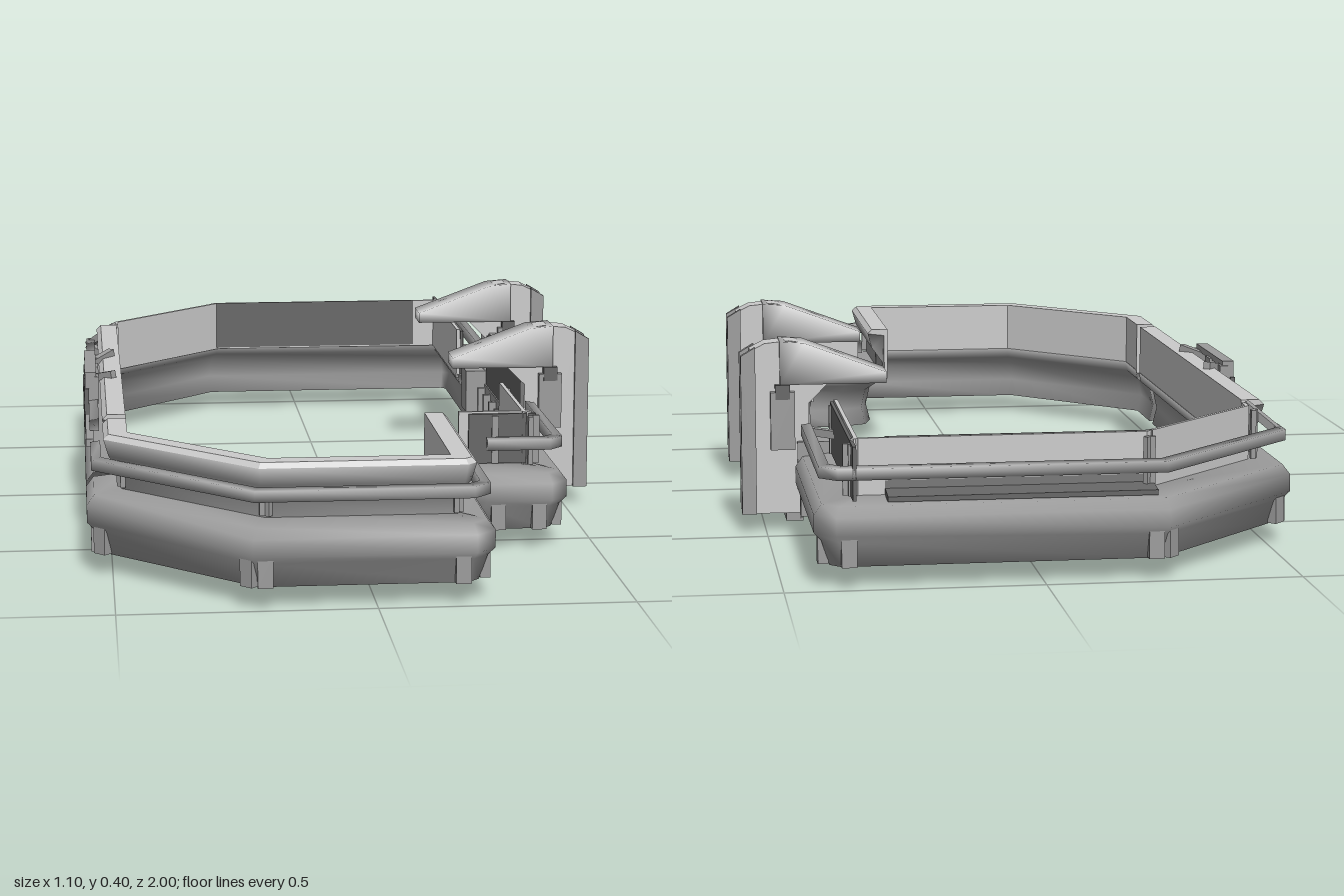
import * as THREE from 'three';
import { mergeVertices } from 'three/addons/utils/BufferGeometryUtils.js';

const material = (color, flatShading) =>
  new THREE.MeshStandardMaterial({ color, flatShading, side: THREE.DoubleSide });
const light = material(0xcccccc, true);
const lightSmooth = material(0xcccccc, false);
const steel = material(0x9c9c9c, false);
const dark = material(0x666666, true);

export function createModel() {
  const root = new THREE.Group();
  const add = (name, geo, mat, x = 0, y = 0, z = 0) => {
    const m = new THREE.Mesh(geo, mat);
    m.name = name;
    m.position.set(x, y, z);
    root.add(m);
    return m;
  };
  const box = (name, mat, w, h, d, x, y, z) => add(name, new THREE.BoxGeometry(w, h, d), mat, x, y, z);
  // square bar between two points
  const bar = (name, a, b, t) => {
    const p = new THREE.Vector3(...a), q = new THREE.Vector3(...b);
    const m = box(name, steel, t, t, p.distanceTo(q), ...p.clone().add(q).multiplyScalar(0.5));
    m.lookAt(q);
    return m;
  };
  // side outline extruded along z, centred on z = 0
  const plate = (points, depth) => new THREE.ExtrudeGeometry(
    new THREE.Shape(points.map(p => new THREE.Vector2(...p))), { depth, bevelEnabled: false })
    .translate(0, 0, -depth / 2);
  // shared vertices, so the shading runs softly over the edges
  const soften = geo => {
    geo.deleteAttribute('normal');
    geo.deleteAttribute('uv');
    const g = mergeVertices(geo);
    g.computeVertexNormals();
    return g;
  };
  // inward normal of the path edge i
  const normal = (path, i) => {
    const dx = path[i + 1][0] - path[i][0], dz = path[i + 1][1] - path[i][1], l = Math.hypot(dx, dz);
    return [dz / l, -dx / l];
  };
  // closed profile of [inset, y] swept along an [x, z] path with mitred corners and end caps
  const sweep = (name, mat, path, profile) => {
    const last = path.length - 1, n = profile.length, pos = [], idx = [];
    path.forEach(([x, z], i) => {
      const a = normal(path, Math.max(i - 1, 0)), b = normal(path, Math.min(i, last - 1));
      const k = 1 / (1 + a[0] * b[0] + a[1] * b[1]);
      for (const [o, y] of profile) pos.push(x + (a[0] + b[0]) * k * o, y, z + (a[1] + b[1]) * k * o);
    });
    for (let i = 0; i < last; i++) for (let j = 0; j < n; j++) {
      const a = i * n + j, b = i * n + (j + 1) % n;
      idx.push(a, b, a + n, b, b + n, a + n);
    }
    const cap = THREE.ShapeUtils.triangulateShape(profile.map(p => new THREE.Vector2(...p)), []);
    for (const t of cap) idx.push(t[0], t[2], t[1], ...t.map(v => v + last * n));
    const g = new THREE.BufferGeometry();
    g.setAttribute('position', new THREE.Float32BufferAttribute(pos, 3));
    g.setIndex(idx);
    g.computeVertexNormals();
    return add(name, g, mat);
  };

  // outer outlines of the two halves of the ring
  const notch = [[0.27, 0.59], [0.405, 0.59], [0.44, 0.555], [0.44, 0.2]];
  const nose = [[-0.55, 0.52], [-0.55, 0.69], [-0.24, 1], [0.19, 1], [0.23, 0.96]];
  const front = [...nose, [0.23, 0.64], [0.24, 0.605], ...notch];
  const back = [[0.44, -0.47], [0.44, -0.96], [0.4, -1], [-0.24, -1], [-0.55, -0.69], [-0.55, 0.48]];

  // lower channel, hollowed on its inner side
  const lower = [[0.03, 0.04], [0.014, 0.09], [0, 0.105], [0, 0.14], [0.015, 0.16],
    [0.085, 0.168], [0.08, 0.145], [0.05, 0.125], [0.04, 0.08], [0.05, 0.04]];
  sweep('frontLowerRim', steel, front, lower);
  sweep('backLowerRim', steel, back, lower);

  // upper walls, with a turned-out lip where the wall is folded
  const plain = [[0.08, 0.16], [0.08, 0.278], [0.088, 0.278], [0.088, 0.16]];
  const folded = [[0.07, 0.16], [0.07, 0.2], [0.045, 0.235], [0.035, 0.27]];
  const lip = [[0.035, 0.27], [0.045, 0.28], [0.083, 0.28], [0.083, 0.16], [0.075, 0.16], [0.075, 0.265]];
  const nosePath = [...nose, [0.23, 0.52]], sidePath = [[-0.55, -0.6], [-0.55, 0.48]];
  for (const [name, path] of [['front', nosePath], ['side', sidePath]]) {
    sweep(name + 'WallFold', steel, path, [...folded, [0.075, 0.265], [0.075, 0.16]]);
    sweep(name + 'WallLip', light, path, lip);
  }
  sweep('notchWall', light, [[0.22, 0.59], ...notch.slice(1)], plain);
  sweep('backWall', light, [...back.slice(0, 5), [-0.55, -0.62]], plain);

  // dark cladding outside the right and notch walls, dark ledge at the back
  const cladding = [[0.072, 0.17], [0.072, 0.274], [0.079, 0.274], [0.079, 0.17]];
  sweep('rightCladding', dark, [[0.44, -0.47], [0.44, -0.99]], cladding);
  sweep('notchCladding', dark, [[0.24, 0.59], [0.38, 0.59]], cladding);
  sweep('backLedge', dark, [[0.3, -1], [-0.22, -1]],
    [[0.025, 0.164], [0.025, 0.174], [0.078, 0.18], [0.091, 0.279], [0.091, 0.164]]);

  // guard rail standing off the wall
  const rail = [[0.01, 0.21], [0.01, 0.232], [0.03, 0.235], [0.03, 0.208]];
  sweep('frontRail', steel, [...nose, [0.23, 0.62]], rail);
  sweep('notchRail', steel, notch, rail);
  sweep('backRail', steel, [[0.44, -0.5], ...back.slice(1, 5), [-0.55, -0.62]], rail);
  sweep('sideRail', steel, [[-0.55, -0.45], [-0.55, 0.3]], rail);
  for (const [y, z] of [[0.18, -0.62], [0.275, -0.62]]) bar('railBrace', [-0.535, 0.22, -0.67], [-0.47, y, z], 0.016);
  bar('railEnd', [0.42, 0.22, -0.5], [0.36, 0.22, -0.56], 0.016);

  // ribs near the ends of the channel's edges, and halfway along the longest ones
  for (const path of [front, back]) for (let i = 0; i < path.length - 1; i++) {
    const [x, z] = path[i], [x2, z2] = path[i + 1], len = Math.hypot(x2 - x, z2 - z);
    if (len < 0.12) continue;
    const n = normal(path, i), count = Math.max(1, Math.round(len / 0.5));
    for (let k = 0; k <= count; k++) {
      const t = (0.025 + (len - 0.05) * k / count) / len;
      const px = x + (x2 - x) * t, pz = z + (z2 - z) * t;
      const rib = box('rimRib', steel, 0.02, 0.065, 0.03, px + n[0] * 0.018, 0.075, pz + n[1] * 0.018);
      const clip = box('wallRib', steel, 0.01, 0.1, 0.014, px + n[0] * 0.073, 0.22, pz + n[1] * 0.073);
      rib.rotation.y = clip.rotation.y = Math.atan2(-n[1], n[0]);
    }
  }

  // hooked pillars
  const post = [[0.43, 0.04], [0.53, 0.04], [0.53, 0.38], [0.5, 0.395], [0.45, 0.4], [0.42, 0.395],
    [0.37, 0.376], [0.37, 0.31], [0.41, 0.27], [0.41, 0.17]];
  const flange = [[0.52, 0.04], [0.55, 0.04], [0.55, 0.37], [0.52, 0.388]];
  const arm = [[0.25, 0.31], [0.25, 0.333], [0.42, 0.396], [0.47, 0.4], [0.47, 0.31]];
  for (const z of [0.16, -0.43]) {
    add('pillar', plate(post, 0.056), light, 0, 0, z);
    add('hookArm', soften(plate(arm, 0.08)), lightSmooth, 0, 0, z);
    box('pillarChannel', dark, 0.006, 0.3, 0.034, 0.531, 0.2, z);
    for (const s of [-1, 1]) {
      add('pillarFlange', plate(flange, 0.014), steel, 0, 0, z + s * 0.029);
      box('pillarClamp', steel, 0.05, 0.12, 0.02, 0.465, 0.235, z + s * 0.033);
      box('pillarBolt', dark, 0.03, 0.03, 0.024, 0.465, 0.295, z + s * 0.032);
    }
    box('pillarFoot', steel, 0.07, 0.1, 0.076, 0.4, 0.14, z);
  }

  // window rack between the pillars
  const mid = -0.13, pitch = 0.172;
  for (const [y, h, w] of [[0.147, 0.022, 0.05], [0.237, 0.016, 0.04], [0.272, 0.014, 0.03]])
    box('rackBeam', steel, w, h, 0.52, 0.435, y, mid);
  box('rackBackPlate', dark, 0.01, 0.13, 0.52, 0.418, 0.212, mid);
  for (let i = 0; i < 4; i++)
    box('rackPost', steel, 0.04, 0.15, 0.026, 0.44, 0.205, mid + (i - 1.5) * pitch);
  for (let i = 0; i < 7; i++)
    box('rackTooth', steel, 0.03, 0.06, 0.012, 0.408, 0.12, mid + (i - 3) * pitch / 2);
  for (let i = -1; i <= 1; i++) {
    const z = mid + i * pitch;
    box('rackPanel', steel, 0.02, 0.06, 0.11, 0.437, 0.192, z);
    // hanging open tray
    box('trayBack', dark, 0.008, 0.11, 0.1, 0.42, 0.06, z);
    box('trayFloor', steel, 0.036, 0.035, 0.1, 0.434, 0.018, z);
    box('trayTop', steel, 0.036, 0.02, 0.11, 0.434, 0.12, z);
    for (const s of [-1, 1]) box('traySide', steel, 0.03, 0.09, 0.01, 0.434, 0.07, z + s * 0.045);
  }

  // latch gear on the long side
  box('latchBar', steel, 0.025, 0.014, 0.27, -0.535, 0.288, -0.045);
  for (const z of [-0.16, -0.05, 0.07]) {
    box('latchBlock', steel, 0.03, 0.06, 0.045, -0.532, 0.255, z);
    box('latchPlate', dark, 0.01, 0.1, 0.06, -0.544, 0.21, z);
  }
  bar('latchLever', [-0.54, 0.27, -0.12], [-0.485, 0.288, -0.19], 0.016);
  bar('latchLever', [-0.54, 0.27, 0.03], [-0.485, 0.288, 0.08], 0.016);
  bar('latchRod', [-0.54, 0.2, 0.12], [-0.54, 0.2, 0.38], 0.016);

  return root;
}
